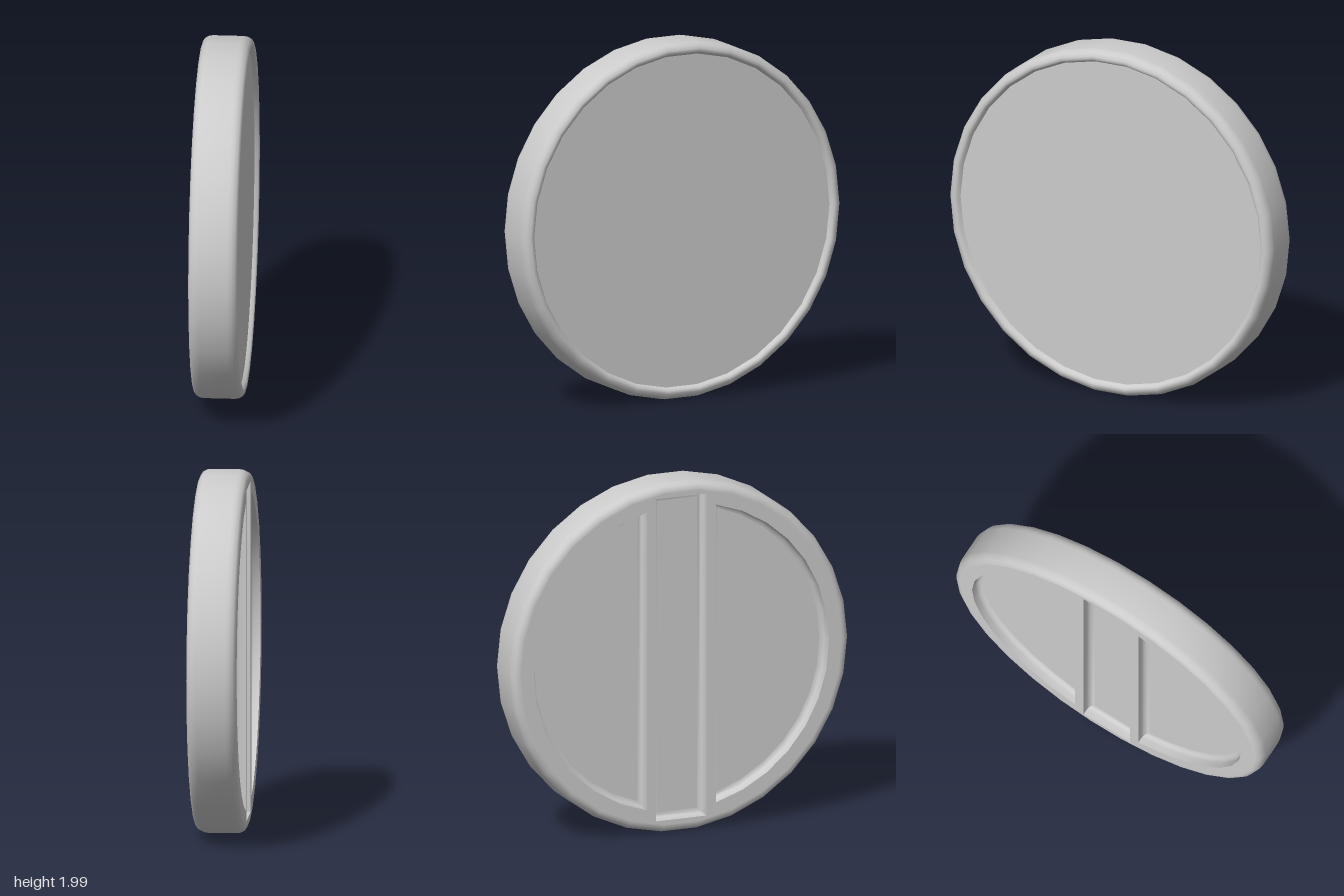
import * as THREE from 'three';
import { toCreasedNormals } from 'three/addons/utils/BufferGeometryUtils.js';

const SIDES = 30, HALF = 0.135, DEPTH = 0.065, FILLET = 0.03;
const RADIUS = 1, FACE_RADIUS = 0.95;
const V = (x, y) => new THREE.Vector2(x, y);

// Counter-clockwise outlines, shrunk by an inset
function slotOutline(inset) {
  const w = 0.15 - inset, h = 0.92 - inset;
  return [V(-w, -h), V(w, -h), V(w, h), V(-w, h)];
}

function halfMoonOutline(side, inset) {
  const r = 0.875 - inset, chord = 0.205 + inset;
  const t = Math.acos(chord / r), n = 14, pts = [];
  for (let i = 0; i <= n; i++) {
    const a = -t + (2 * t * i) / n;
    pts.push(V(side * r * Math.cos(a), side * r * Math.sin(a)));
  }
  return pts;
}

// Pocket walls: outline rings going down, ending in a rounded foot
function wallGeometry(outline) {
  const rings = [[0, 0]];
  for (let k = 0; k <= 4; k++) {
    const a = (k / 4) * Math.PI / 2;
    rings.push([FILLET * (1 - Math.cos(a)), DEPTH - FILLET + FILLET * Math.sin(a)]);
  }
  const pos = [], index = [];
  const n = outline(0).length;
  for (const [inset, down] of rings)
    for (const p of outline(inset)) pos.push(p.x, p.y, HALF - down);
  for (let j = 0; j < rings.length - 1; j++)
    for (let i = 0; i < n; i++) {
      const i2 = (i + 1) % n;
      const a = j * n + i, b = j * n + i2, c = a + n, d = b + n;
      index.push(a, b, c, b, d, c);
    }
  const g = new THREE.BufferGeometry();
  g.setAttribute('position', new THREE.Float32BufferAttribute(pos, 3));
  g.setIndex(index);
  return toCreasedNormals(g, 0.7);
}

export function createModel() {
  const group = new THREE.Group();
  const disc = new THREE.Group();
  disc.name = 'disc';
  const material = new THREE.MeshStandardMaterial({ color: 0xcccccc });
  const add = (name, geometry) => {
    const mesh = new THREE.Mesh(geometry, material);
    mesh.name = name;
    disc.add(mesh);
  };

  // Outer shell: shallow dished face, rounded rim, edge of the pocketed face
  const profile = [
    V(0, -0.108), V(0.93, -0.108), V(0.94, -0.128), V(0.95, -HALF),
    V(0.965, -HALF), V(0.985, -0.122), V(0.997, -0.1), V(RADIUS, -0.08),
    V(RADIUS, 0.08), V(0.997, 0.1), V(0.985, 0.122), V(0.965, HALF), V(FACE_RADIUS, HALF),
  ];
  const shell = new THREE.LatheGeometry(profile, SIDES, Math.PI / SIDES);
  shell.rotateX(Math.PI / 2);
  add('shell', toCreasedNormals(shell, 0.7));

  // Pockets: a central slot between two half moons
  const pockets = {
    slot: slotOutline,
    leftHalfMoon: (inset) => halfMoonOutline(1, inset),
    rightHalfMoon: (inset) => halfMoonOutline(-1, inset),
  };
  const rim = [];
  for (let i = 0; i < SIDES; i++) {
    const a = (i / SIDES) * Math.PI * 2;
    rim.push(V(FACE_RADIUS * Math.cos(a), FACE_RADIUS * Math.sin(a)));
  }
  const face = new THREE.Shape(rim);
  for (const [name, outline] of Object.entries(pockets)) {
    face.holes.push(new THREE.Path(outline(0)));
    add(name + 'Walls', wallGeometry(outline));
    const floor = new THREE.ShapeGeometry(new THREE.Shape(outline(FILLET)));
    floor.translate(0, 0, HALF - DEPTH);
    add(name + 'Floor', floor);
  }

  // Flat face with its two ribs
  const plate = new THREE.ShapeGeometry(face);
  plate.translate(0, 0, HALF);
  add('ribbedFace', plate);

  // Stand on edge, pockets towards -x
  disc.rotation.y = -Math.PI / 2;
  disc.position.y = RADIUS * Math.cos(Math.PI / SIDES);
  group.add(disc);
  return group;
}
